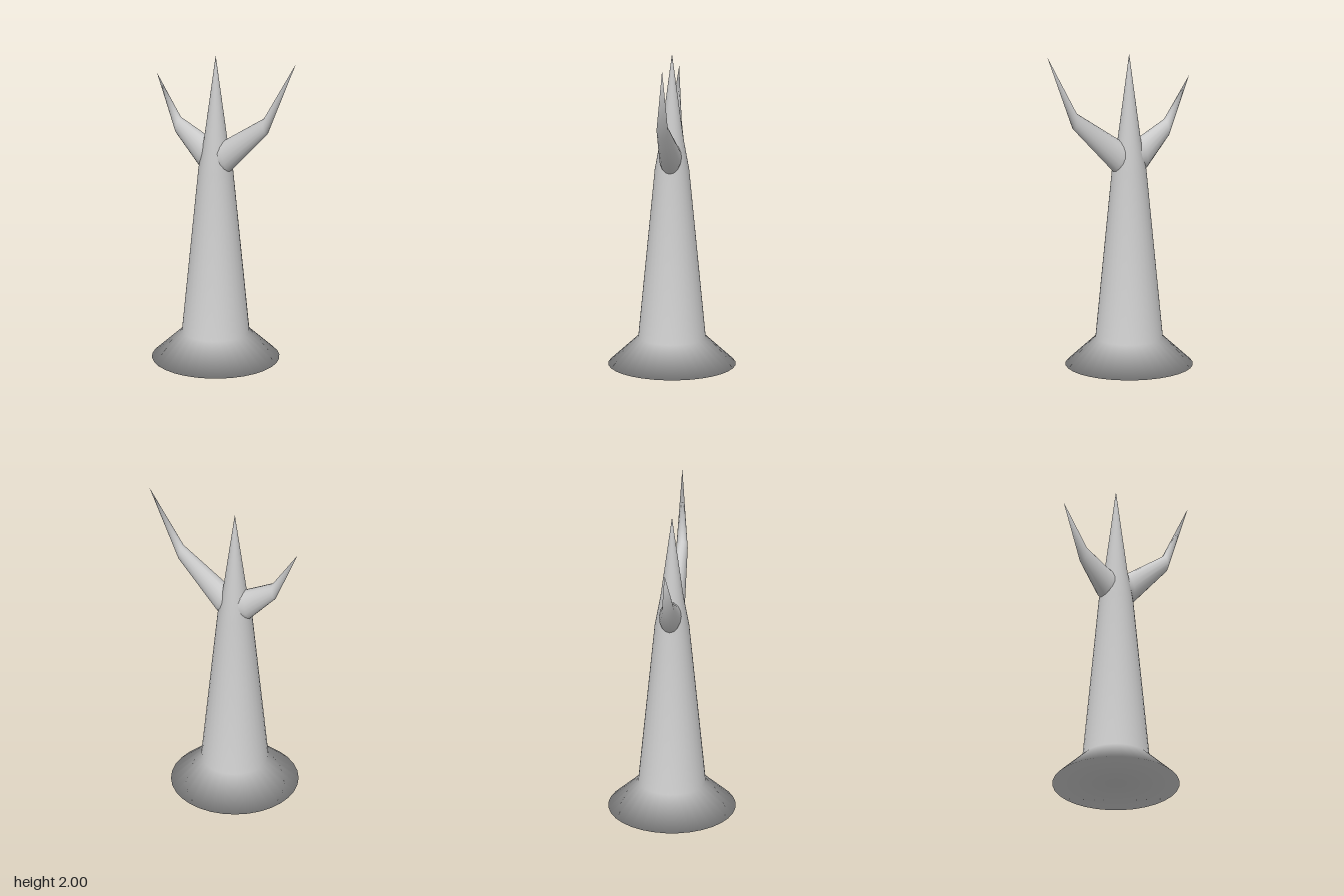
import * as THREE from 'three';

const AXIS_X = -0.077;
const material = new THREE.MeshStandardMaterial({ color: 0xcccccc });

// Loft of elliptical rings ending in a point.
// Each ring: [lowX, lowY, highX, highY, zBack, zFront]; dir is the sign of the x direction it grows in.
function makeBranch(name, rings, tip, dir, sides = 16) {
  const positions = [];
  const index = [];
  for (const [lx, ly, hx, hy, zb, zf] of rings) {
    for (let j = 0; j < sides; j++) {
      const a = (j / sides) * Math.PI * 2;
      const c = Math.cos(a) / 2;
      const s = (dir * Math.sin(a)) / 2;
      positions.push((lx + hx) / 2 + (hx - lx) * c, (ly + hy) / 2 + (hy - ly) * c, (zb + zf) / 2 + (zf - zb) * s);
    }
  }
  positions.push(...tip);
  const tipIndex = rings.length * sides;
  for (let i = 0; i < rings.length; i++) {
    for (let j = 0; j < sides; j++) {
      const a = i * sides + j;
      const b = i * sides + ((j + 1) % sides);
      if (i === rings.length - 1) index.push(a, b, tipIndex);
      else index.push(a, b, b + sides, a, b + sides, a + sides);
    }
  }
  const geometry = new THREE.BufferGeometry();
  geometry.setAttribute('position', new THREE.Float32BufferAttribute(positions, 3));
  geometry.setIndex(index);
  geometry.computeVertexNormals();
  const mesh = new THREE.Mesh(geometry, material);
  mesh.name = name;
  return mesh;
}

export function createModel() {
  const group = new THREE.Group();
  group.name = 'bareTree';

  // Trunk: closed flared foot, tapering shaft and pointed top
  const profile = [
    [0, 0], [0.387, 0], [0.205, 0.17], [0.105, 1.22], [0.07, 1.415], [0, 1.95],
  ].map(([r, y]) => new THREE.Vector2(r, y));
  const trunk = new THREE.Mesh(new THREE.LatheGeometry(profile, 32), material);
  trunk.name = 'trunk';
  trunk.position.x = AXIS_X;
  group.add(trunk);

  // Long branch on the left, rooted inside the trunk
  group.add(makeBranch('leftBranch', [
    [AXIS_X, 1.2, AXIS_X, 1.39, -0.07, 0.075],
    [0.03, 1.22, -0.01, 1.415, -0.062, 0.07],
    [0.295, 1.515, 0.275, 1.615, -0.01, 0.06],
  ], [0.485, 2, 0.007], 1));

  // Short branch on the right
  group.add(makeBranch('rightBranch', [
    [AXIS_X, 1.2, AXIS_X, 1.39, -0.075, 0.07],
    [-0.185, 1.22, -0.15, 1.415, -0.07, 0.06],
    [-0.345, 1.4, -0.325, 1.505, -0.035, 0.037],
  ], [-0.488, 1.76, -0.005], -1));

  return group;
}
